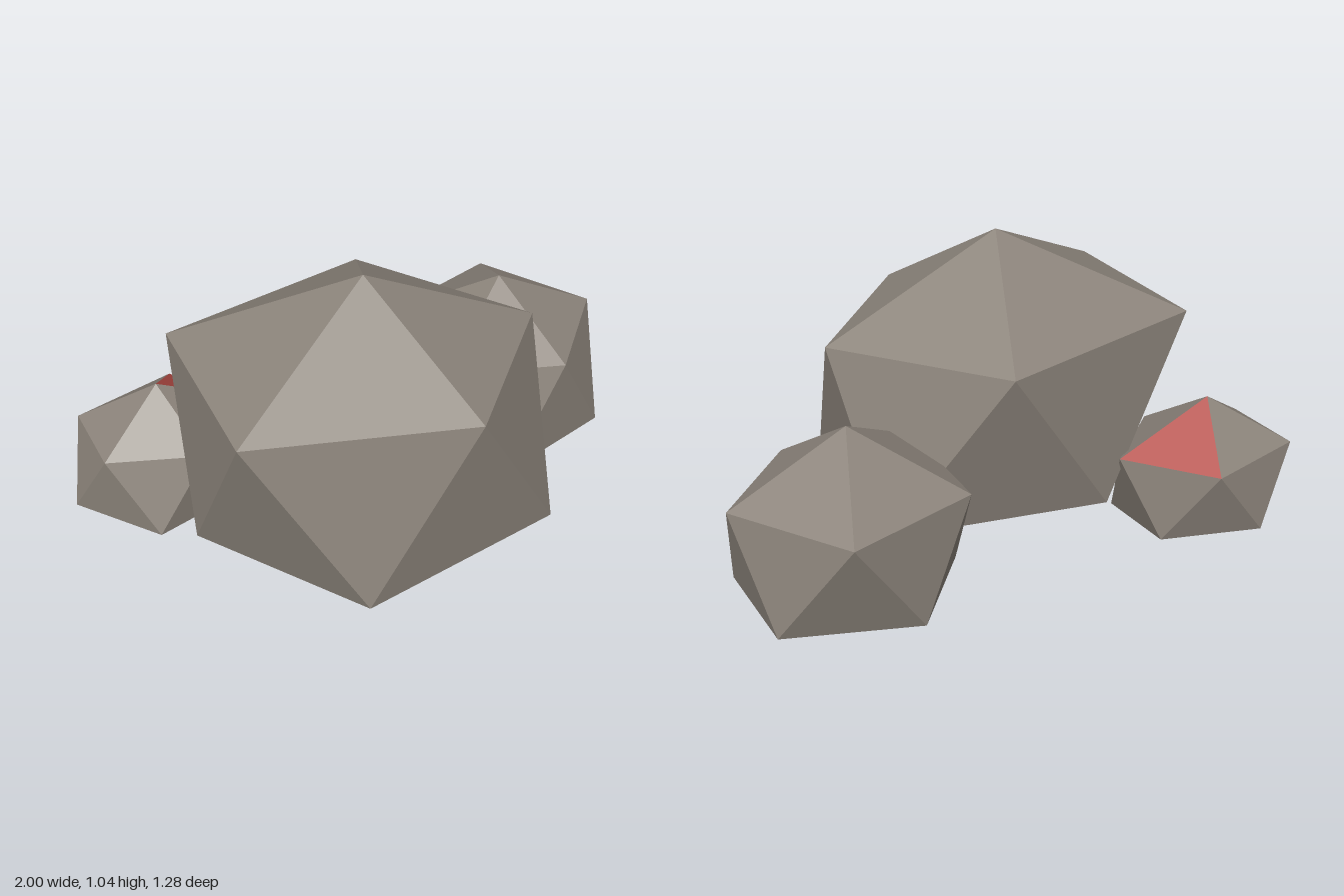
import * as THREE from 'three';

const stone = new THREE.MeshStandardMaterial({ color: 0x8c847b, flatShading: true });
stone.name = 'stoneGrey';
const red = new THREE.MeshStandardMaterial({ color: 0xb34a44, flatShading: true });
red.name = 'dullRed';

// A twenty-sided boulder: apex, upper ring, lower ring offset by half a step, base point.
// Rings run counter-clockwise seen from above; the first face uses its own material.
function rock(name, [x, z, height], upper, lower, firstMaterial = stone) {
  const top = [x, height, z], base = [x, 0, z];
  const faces = [];
  for (let i = 0; i < 5; i++) {
    const j = (i + 1) % 5;
    faces.push(top, upper[i], upper[j]);
    faces.push(upper[i], lower[i], upper[j]);
    faces.push(upper[j], lower[i], lower[j]);
    faces.push(base, lower[j], lower[i]);
  }
  const geometry = new THREE.BufferGeometry();
  geometry.setAttribute('position', new THREE.Float32BufferAttribute(faces.flat(), 3));
  geometry.computeVertexNormals();
  geometry.addGroup(0, 3, 0);
  geometry.addGroup(3, faces.length - 3, 1);
  const mesh = new THREE.Mesh(geometry, [firstMaterial, stone]);
  mesh.name = name;
  return mesh;
}

export function createModel() {
  const group = new THREE.Group();
  group.name = 'rockCluster';

  // Large boulder in the middle
  group.add(rock('largeRock', [-0.09, 0.125, 1.04],
    [[0.53, 0.735, 0.12], [0.11, 0.755, -0.41], [-0.645, 0.765, -0.21], [-0.63, 0.755, 0.45], [0.1, 0.735, 0.61]],
    [[0.46, 0.17, -0.2], [-0.28, 0.18, -0.34], [-0.69, 0.175, 0.12], [-0.29, 0.155, 0.64], [0.46, 0.135, 0.46]]));

  // Medium boulder on the left side, set back
  group.add(rock('mediumRock', [0.61, -0.26, 0.65],
    [[1, 0.45, -0.26], [0.74, 0.46, -0.64], [0.3, 0.45, -0.49], [0.3, 0.44, -0.04], [0.72, 0.43, 0.065]],
    [[0.93, 0.095, -0.455], [0.5, 0.09, -0.585], [0.25, 0.07, -0.26], [0.49, 0.06, 0.12], [0.94, 0.06, -0.03]]));

  // Small boulder on the right side with one red facet
  group.add(rock('smallRock', [-0.67, -0.33, 0.49],
    [[-0.33, 0.33, -0.33], [-0.56, 0.33, -0.59], [-0.925, 0.325, -0.48], [-0.905, 0.32, -0.19], [-0.58, 0.32, -0.09]],
    [[-0.42, 0.065, -0.47], [-0.76, 0.07, -0.57], [-1, 0.058, -0.33], [-0.77, 0.055, -0.06], [-0.4, 0.055, -0.18]],
    red));

  return group;
}
